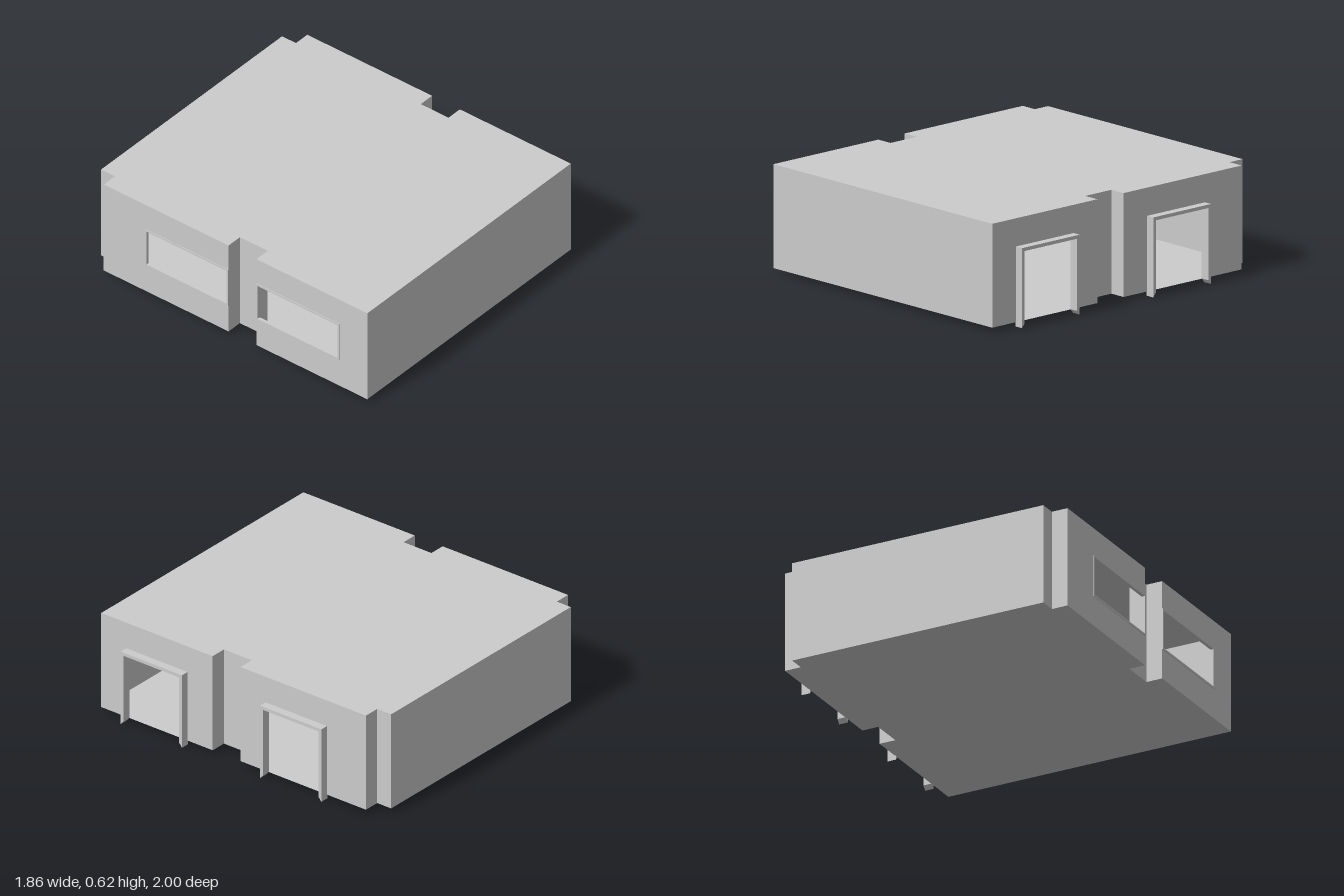
import * as THREE from 'three';

const BASE = 0.025, TOP = 0.625, LEFT = 0.875, RIGHT = -0.925, RECESS = 0.1;

// Openings as [z0, z1, y0, y1], measured to the outer edge of their frames
const DOORS = [[-0.62, -0.18, 0, 0.462], [0.38, 0.82, 0, 0.462]];
const WINDOWS = [[-0.6, 0, 0.205, 0.457], [0.2, 0.8, 0.205, 0.457]];
const DOOR_TRIM = 0.02, WINDOW_TRIM = 0.011;

const shell = new THREE.MeshStandardMaterial({ color: 0xcccccc, side: THREE.DoubleSide, flatShading: true });

const polygon = (points) => new THREE.Shape(points.map(([a, b]) => new THREE.Vector2(a, b)));
const rect = (z0, z1, y0, y1) => [[z0, y0], [z1, y0], [z1, y1], [z0, y1]];

function add(group, geometry, name) {
  const mesh = new THREE.Mesh(geometry, shell);
  mesh.name = name;
  group.add(mesh);
}

// Turns a shape drawn in (z, y) into a surface standing at the given x
const standAt = (geometry, x) => geometry.rotateY(-Math.PI / 2).translate(x, 0, 0);

export function createModel() {
  const model = new THREE.Group();
  model.name = 'room';

  // Floor plan with recesses for pillars at the back corners and both sides
  const plan = [
    [RIGHT, 1], [RIGHT, 0.2], [RIGHT + RECESS, 0.2], [RIGHT + RECESS, 0],
    [RIGHT, 0], [RIGHT, -0.9], [RIGHT + RECESS, -0.9], [RIGHT + RECESS, -1],
    [LEFT - RECESS, -1], [LEFT - RECESS, -0.9], [LEFT, -0.9], [LEFT, 0],
    [LEFT - RECESS, 0], [LEFT - RECESS, 0.2], [LEFT, 0.2], [LEFT, 1],
  ];
  for (const [name, y] of [['floor', BASE], ['ceiling', TOP]]) {
    add(model, new THREE.ShapeGeometry(polygon(plan)).rotateX(Math.PI / 2).translate(0, y, 0), name);
  }

  // Thin walls along the plan
  plan.forEach(([x0, z0], i) => {
    const [x1, z1] = plan[(i + 1) % plan.length];
    if (x0 !== x1) {
      const wall = new THREE.PlaneGeometry(Math.abs(x1 - x0), TOP - BASE);
      if (Math.abs(z0) === 1 && z0 < 0) wall.rotateY(Math.PI);
      add(model, wall.translate((x0 + x1) / 2, (BASE + TOP) / 2, z0), 'crossWall');
      return;
    }
    const a = Math.min(z0, z1), b = Math.max(z0, z1);
    let outline = rect(a, b, BASE, TOP);
    const holes = [];
    if (x0 === LEFT) {
      // Doorway cut up from the floor
      const door = DOORS.find((d) => d[0] > a && d[1] < b);
      const d0 = door[0] + DOOR_TRIM, d1 = door[1] - DOOR_TRIM, head = door[3] - DOOR_TRIM;
      outline = [[a, BASE], [d0, BASE], [d0, head], [d1, head], [d1, BASE], [b, BASE], [b, TOP], [a, TOP]];
    } else if (x0 === RIGHT) {
      const [w0, w1, y0, y1] = WINDOWS.find((w) => w[0] >= a && w[1] <= b);
      const t = WINDOW_TRIM;
      holes.push(polygon(rect(w0 + t, w1 - t, y0 + t, y1 - t)));
    }
    const shape = polygon(outline);
    shape.holes = holes;
    add(model, standAt(new THREE.ShapeGeometry(shape), x0), 'sideWall');
  });

  // Door surrounds: two legs with mitred feet and a head
  for (const [z0, z1, y0, y1] of DOORS) {
    const t = DOOR_TRIM;
    const shape = polygon([
      [z0, y0], [z0 + t, BASE], [z0 + t, y1 - t], [z1 - t, y1 - t],
      [z1 - t, BASE], [z1, y0], [z1, y1], [z0, y1],
    ]);
    const frame = new THREE.ExtrudeGeometry(shape, { depth: 0.055, bevelEnabled: false });
    add(model, standAt(frame, 0.925), 'doorFrame');
  }

  // Slim window surrounds
  for (const [z0, z1, y0, y1] of WINDOWS) {
    const t = WINDOW_TRIM;
    const shape = polygon(rect(z0, z1, y0, y1));
    shape.holes.push(polygon(rect(z0 + t, z1 - t, y0 + t, y1 - t)));
    const frame = new THREE.ExtrudeGeometry(shape, { depth: 0.02, bevelEnabled: false });
    add(model, standAt(frame, RIGHT + 0.015), 'windowFrame');
  }
  return model;
}
